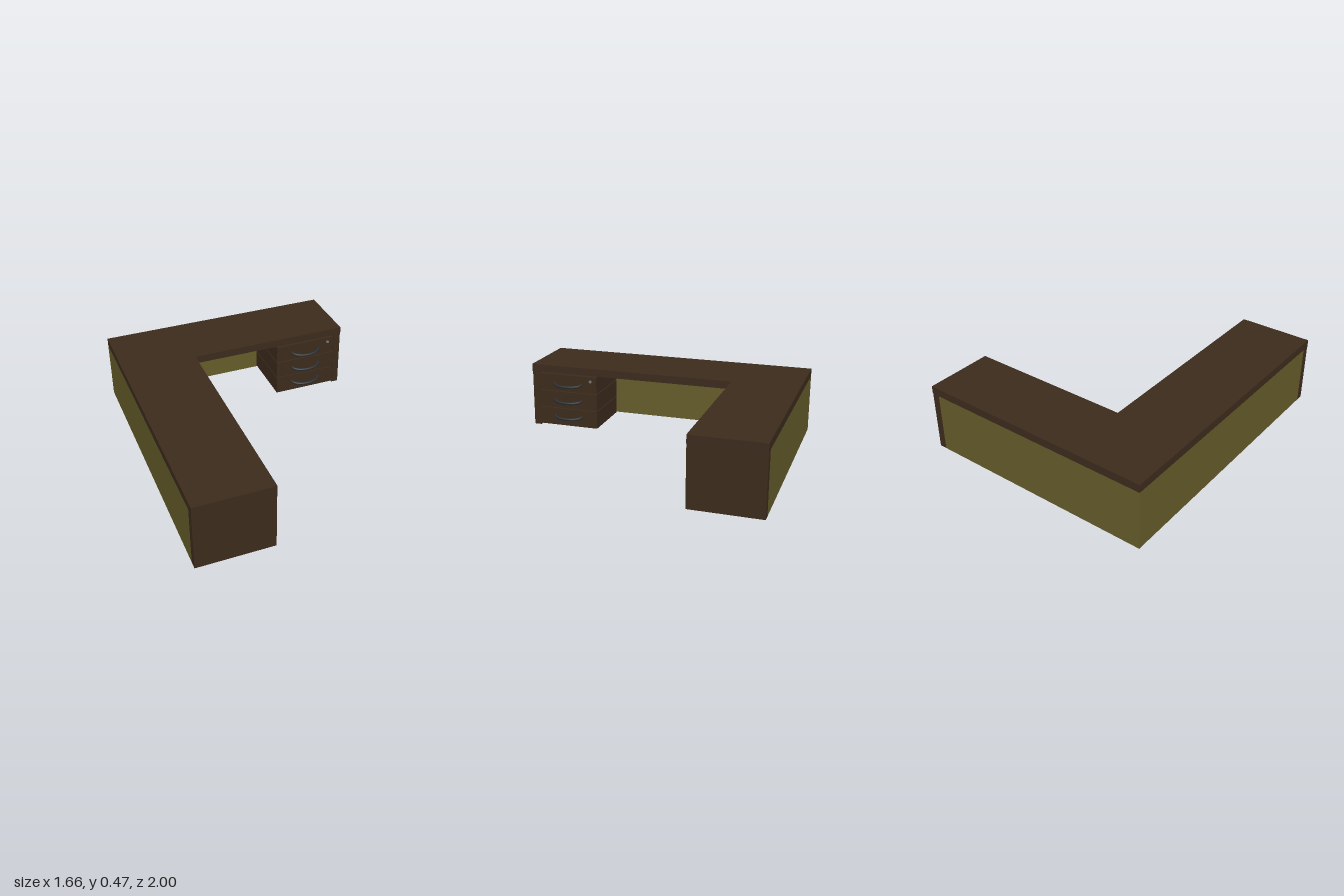
import * as THREE from 'three';

const wood = new THREE.MeshStandardMaterial({ color: 0x3d2b1d });
const olive = new THREE.MeshStandardMaterial({ color: 0x665c2a });
const metal = new THREE.MeshStandardMaterial({ color: 0x2c3034 });
const steel = new THREE.MeshStandardMaterial({ color: 0x777777 });

const TOP = 0.47, UNDER = 0.415, PANEL = 0.055;

// Box given by its two opposite corners
function box(name, [x0, y0, z0], [x1, y1, z1], material) {
  const mesh = new THREE.Mesh(new THREE.BoxGeometry(x1 - x0, y1 - y0, z1 - z0), material);
  mesh.position.set((x0 + x1) / 2, (y0 + y1) / 2, (z0 + z1) / 2);
  mesh.name = name;
  return mesh;
}

// Bowed handle, leaning slightly down as it leaves the drawer
function makeHandle() {
  const points = [];
  for (let i = 0; i <= 12; i++) {
    const a = Math.PI * (i / 12);
    points.push(new THREE.Vector3(-0.105 * Math.cos(a), 0.005 - 0.012 * Math.sin(a), 0.053 * Math.sin(a)));
  }
  const curve = new THREE.CatmullRomCurve3(points);
  const handle = new THREE.Mesh(new THREE.TubeGeometry(curve, 32, 0.01, 10), metal);
  handle.name = 'drawerHandle';
  return handle;
}

// Stack of three drawers facing +z, front face at z = 0
function makePedestal(name) {
  const group = new THREE.Group();
  group.name = name;
  [[0.012, 0.142], [0.148, 0.273], [0.28, 0.405]].forEach(([y0, y1], i) => {
    group.add(box('drawer', [-0.228, y0, -0.42], [0.226, y1, 0.003], wood));
    const handle = makeHandle();
    handle.position.y = 0.083 + i * 0.125;
    group.add(handle);
  });
  const lock = new THREE.Mesh(new THREE.CylinderGeometry(0.011, 0.011, 0.008, 16), steel);
  lock.name = 'lock';
  lock.rotation.x = Math.PI / 2;
  lock.position.set(0.18, 0.372, 0.005);
  group.add(lock);
  return group;
}

export function createModel() {
  const model = new THREE.Group();
  model.name = 'cornerDesk';

  // L-shaped worktop, drawn in plan with shape y = -z
  const plan = new THREE.Shape([
    [-0.83, -1], [-0.31, -1], [-0.31, 0.52], [0.83, 0.52], [0.83, 1], [-0.83, 1],
  ].map(([x, y]) => new THREE.Vector2(x, y)));
  const top = new THREE.Mesh(
    new THREE.ExtrudeGeometry(plan, { depth: TOP - UNDER, bevelEnabled: false }), wood);
  top.name = 'worktop';
  top.rotation.x = -Math.PI / 2;
  top.position.y = UNDER;
  model.add(top);

  // End panels
  model.add(box('leftEndPanel', [0.83 - PANEL, 0, -1], [0.827, UNDER, -0.52], wood));
  model.add(box('frontEndPanel', [-0.83, 0, 1 - PANEL], [-0.31, UNDER, 0.997], wood));

  // Modesty panels along the two outer sides
  model.add(box('backPanel', [-0.83, 0, -1], [0.83 - PANEL, UNDER, -1 + PANEL], olive));
  model.add(box('sidePanel', [-0.83, 0, -1 + PANEL], [-0.83 + PANEL, UNDER, 1 - PANEL], olive));

  // Drawer pedestals, one under each wing
  const backPedestal = makePedestal('backPedestal');
  backPedestal.position.set(0.545, 0, -0.52);
  const sidePedestal = makePedestal('sidePedestal');
  sidePedestal.position.set(-0.31, 0, 0.715);
  sidePedestal.rotation.y = Math.PI / 2;
  model.add(backPedestal, sidePedestal);

  return model;
}
